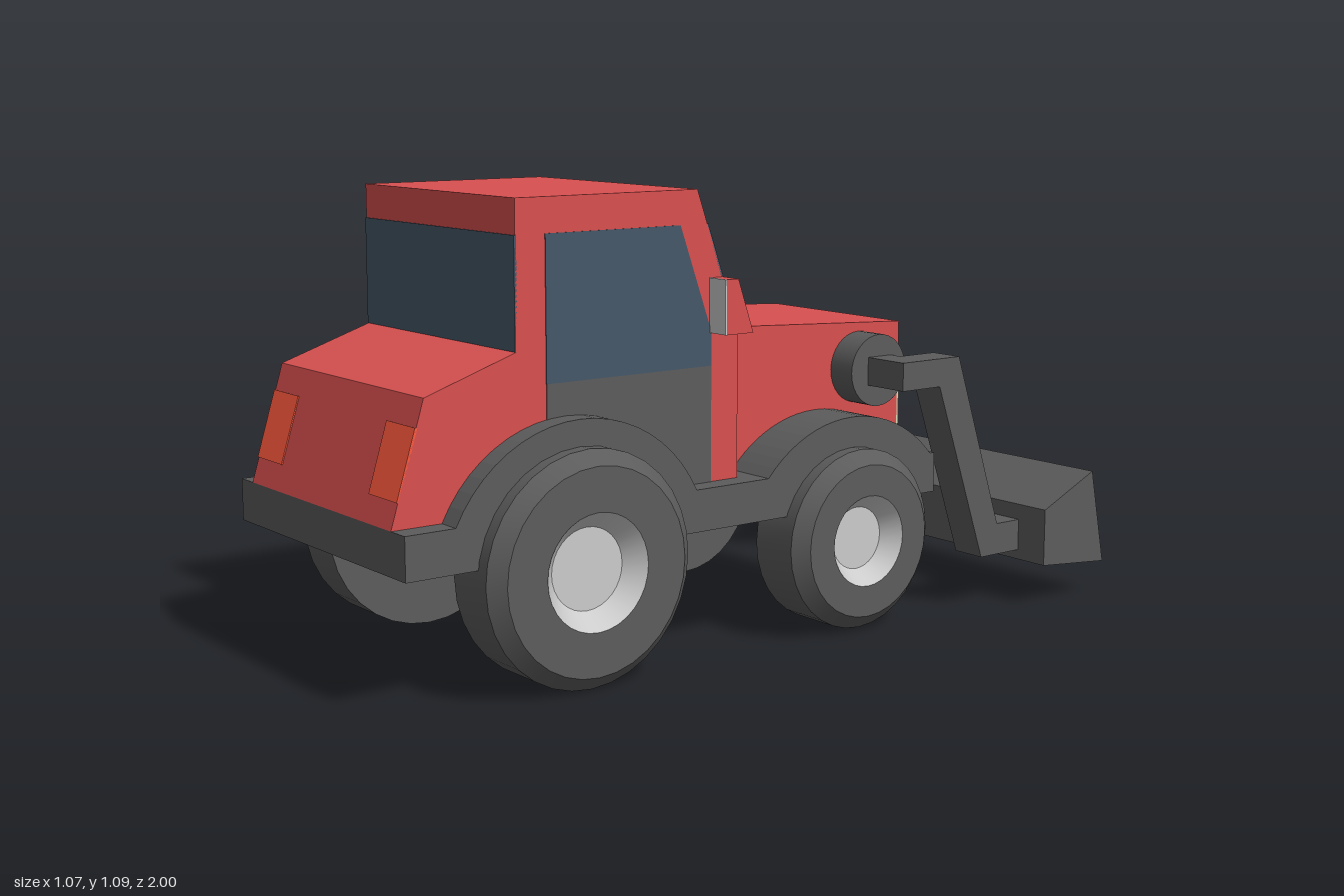
import * as THREE from 'three';
import { toCreasedNormals } from 'three/addons/utils/BufferGeometryUtils.js';

const material = (color) => new THREE.MeshStandardMaterial({ color });
const red = material(0xd95050);
const dark = material(0x5c5c5c);
const glass = material(0x46586a);
const light = material(0xcccccc);
const lamp = material(0xd8dcb4);
const tailLamp = material(0xff5a3c);

function add(parent, name, geometry, mat) {
  const mesh = new THREE.Mesh(geometry, mat);
  mesh.name = name;
  parent.add(mesh);
  return mesh;
}

// Side outline given as [z, y] points (or a Shape), extruded between two x values
function sideways(outline, x0, x1) {
  const shape = Array.isArray(outline) ? new THREE.Shape(outline.map((p) => new THREE.Vector2(...p))) : outline;
  const geometry = new THREE.ExtrudeGeometry(shape, { depth: x1 - x0, bevelEnabled: false, curveSegments: 10 });
  return geometry.rotateY(-Math.PI / 2).translate(x1, 0, 0);
}

// Thin panel lying along the outline edge a-b
function panel([az, ay], [bz, by], x0, x1) {
  const t = 0.003 / Math.hypot(bz - az, by - ay);
  const nz = (ay - by) * t, ny = (bz - az) * t;
  return sideways([[az + nz, ay + ny], [bz + nz, by + ny], [bz - nz, by - ny], [az - nz, ay - ny]], x0, x1);
}

// Point on the line a-b at height y
const atHeight = ([az, ay], [bz, by], y) => [az + ((bz - az) * (y - ay)) / (by - ay), y];

// Arch over a wheel, described by its chord and height
function arch(shape, z, halfChord, base, height) {
  const r = (halfChord ** 2 + height ** 2) / (2 * height);
  const cy = base + height - r;
  const a = Math.asin((base - cy) / r);
  shape.absarc(z, cy, r, a, Math.PI - a, false);
}

function lathe(points) {
  const geometry = new THREE.LatheGeometry(points.map((p) => new THREE.Vector2(...p)), 32);
  return toCreasedNormals(geometry.rotateZ(-Math.PI / 2), 0.4);
}

function wheel(name, radius, rim, hub) {
  const group = new THREE.Group();
  group.name = name;
  add(group, 'tyre', lathe([[0, 0.285], [radius, 0.285], [radius, 0.413], [radius - 0.034, 0.445], [rim, 0.445]]), dark);
  add(group, 'rim', lathe([[rim, 0.445], [hub, 0.4], [0, 0.4]]), light);
  return group;
}

// Bucket: rectangular loops from the back, out to the rim, then into the cavity
function bucketGeometry() {
  const ring = (hx, [bz, by], [tz, ty]) => [[-hx, by, bz], [hx, by, bz], [hx, ty, tz], [-hx, ty, tz]];
  const rings = [
    ring(0.535, [-0.775, 0.105], [-0.775, 0.25]),
    ring(0.535, [-1, 0.085], [-0.95, 0.33]),
    ring(0.49, [-0.992, 0.122], [-0.958, 0.293]),
    ring(0.45, [-0.82, 0.14], [-0.82, 0.22]),
  ];
  const positions = [];
  const quad = (a, b, c, d) => positions.push(...a, ...b, ...c, ...a, ...c, ...d);
  quad(...rings[0]);
  for (let k = 0; k < 3; k++) {
    for (let i = 0; i < 4; i++) {
      const j = (i + 1) % 4;
      quad(rings[k][i], rings[k + 1][i], rings[k + 1][j], rings[k][j]);
    }
  }
  quad(...rings[3].slice().reverse());
  const geometry = new THREE.BufferGeometry();
  geometry.setAttribute('position', new THREE.Float32BufferAttribute(positions, 3));
  geometry.computeVertexNormals();
  return geometry;
}

export function createModel() {
  const model = new THREE.Group();
  model.name = 'tractor';
  const W = 0.323, H = 0.243;

  // Chassis with wheel arches
  const frame = new THREE.Shape();
  frame.moveTo(1, 0.305);
  frame.lineTo(1, 0.405);
  arch(frame, 0.553, 0.323, 0.405, 0.2);
  arch(frame, -0.25, 0.265, 0.405, 0.12);
  frame.lineTo(-0.53, 0.405);
  frame.lineTo(-0.53, 0.305);
  add(model, 'chassis', sideways(frame, -0.38, 0.38), dark);

  // Cab and hood
  const tailLow = [1, 0.405], tailHigh = [0.915, 0.68];
  const screenLow = [0.065, 0.755], screenHigh = [0.185, 1.09];
  add(model, 'cab', sideways([tailLow, tailHigh, [0.682, 0.757], [0.682, 1.09], screenHigh, screenLow, [0.065, 0.405]], -W, W), red);
  add(model, 'hood', sideways([[0.1, 0.405], [0.1, 0.757], [0.065, 0.755], [-0.53, 0.725], [-0.53, 0.405]], -H, H), red);

  // Glass and grille
  add(model, 'windscreen', panel(atHeight(screenLow, screenHigh, 0.758), atHeight(screenLow, screenHigh, 1.01), -W, W), glass);
  add(model, 'rearWindow', panel([0.682, 0.757], [0.682, 1.01], -W, W), glass);
  add(model, 'grille', panel([-0.53, 0.405], [-0.53, 0.62], -0.127, 0.127), dark);

  add(model, 'bucket', bucketGeometry(), dark);

  for (const [side, s] of [['left', 1], ['right', -1]]) {
    // Outline or panel between two distances from the middle, on this side
    const span = (a, b) => (s > 0 ? [a, b] : [-b, -a]);
    const onSide = (outline, a, b) => sideways(outline, ...span(a, b));
    const panelOn = (p, q, a, b) => panel(p, q, ...span(a, b));

    // Door and side window
    add(model, side + 'Door', onSide([[0.605, 0.405], [0.605, 0.68], [0.145, 0.68], [0.145, 0.405]], W - 0.01, W + 0.002), dark);
    add(model, side + 'Window', onSide([[0.605, 0.68], [0.605, 1.01], [0.235, 1.01], [0.145, 0.76], [0.145, 0.68]], W - 0.01, W + 0.002), glass);

    // Lights
    add(model, side + 'Headlight', panelOn([-0.53, 0.46], [-0.53, 0.62], 0.127, H), lamp);
    add(model, side + 'TailLight', panelOn(atHeight(tailLow, tailHigh, 0.463), atHeight(tailLow, tailHigh, 0.618), 0.203, W), tailLamp);

    // Mirror
    add(model, side + 'MirrorHousing', onSide([[0.145, 0.757], [0.145, 0.885], [0.111, 0.885], [0.066, 0.757]], W - 0.005, 0.382), red);
    add(model, side + 'MirrorGlass', panelOn([0.146, 0.757], [0.146, 0.885], W, 0.382), light);

    // Lifting arm with its pivot and bracket
    const pivot = new THREE.CylinderGeometry(0.09, 0.09, 0.085, 32).rotateZ(Math.PI / 2);
    add(model, side + 'Pivot', pivot, dark).position.set(s * 0.2775, 0.62, -0.39);
    add(model, side + 'Bracket', onSide([[-0.355, 0.585], [-0.355, 0.655], [-0.43, 0.655], [-0.43, 0.585]], 0.31, 0.36), dark);
    add(model, side + 'Arm', onSide([[-0.355, 0.585], [-0.355, 0.655], [-0.545, 0.655], [-0.695, 0.21],
      [-0.78, 0.21], [-0.78, 0.13], [-0.64, 0.13], [-0.48, 0.585]], 0.355, 0.445), dark);

    // Wheels
    const wheels = [wheel(side + 'RearWheel', 0.272, 0.135, 0.095), wheel(side + 'FrontWheel', 0.222, 0.112, 0.077)];
    wheels[0].position.set(0, 0.272, 0.553);
    wheels[1].position.set(0, 0.228, -0.25);
    for (const w of wheels) {
      w.rotation.y = s > 0 ? 0 : Math.PI;
      model.add(w);
    }
  }
  return model;
}
